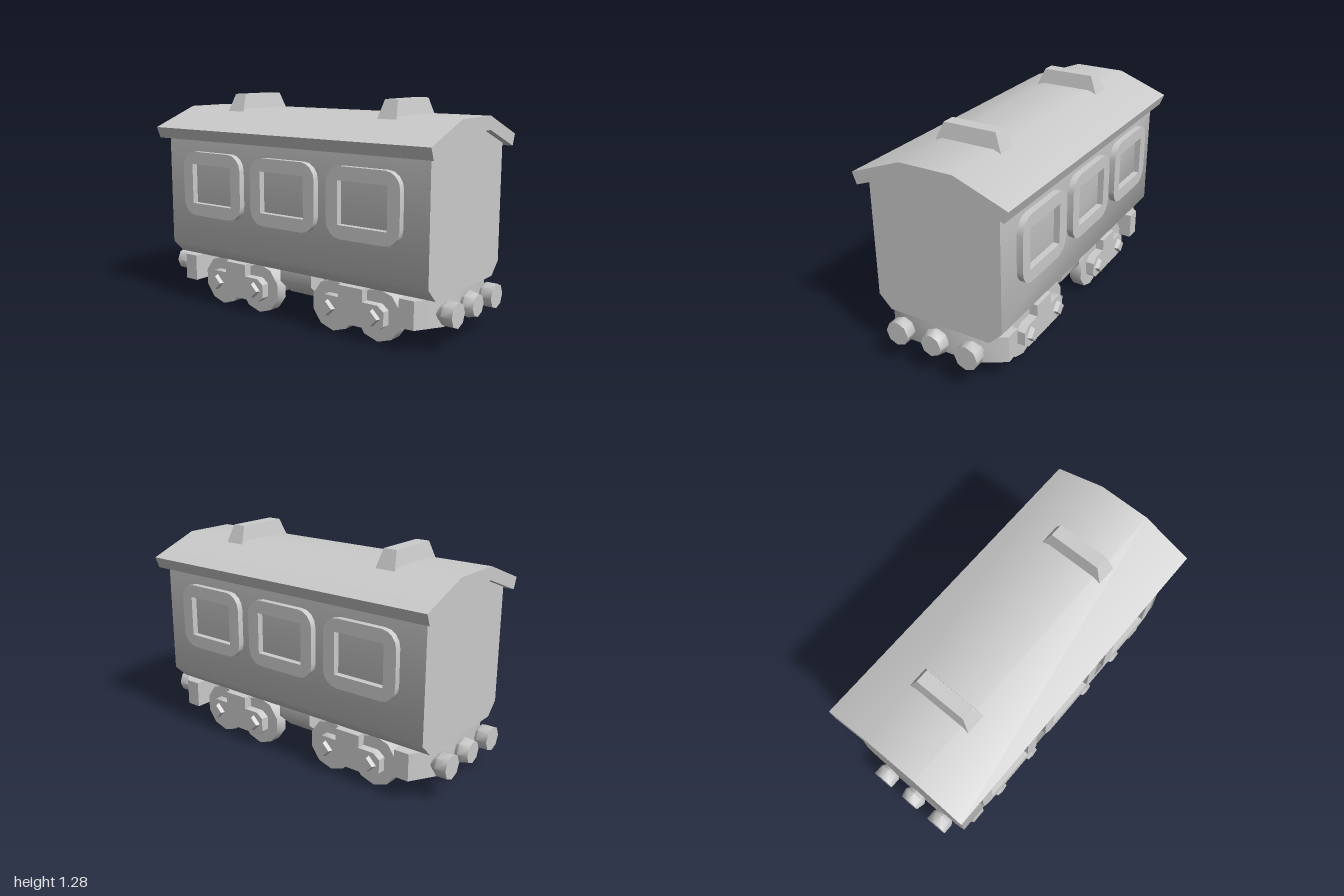
import * as THREE from 'three';
import { toCreasedNormals } from 'three/addons/utils/BufferGeometryUtils.js';

const material = new THREE.MeshStandardMaterial({ color: 0xcccccc });

function add(parent, name, geometry, x = 0, y = 0, z = 0) {
  const mesh = new THREE.Mesh(toCreasedNormals(geometry, 0.87), material);
  mesh.name = name;
  mesh.position.set(x, y, z);
  parent.add(mesh);
  return mesh;
}

function group(parent, name, z = 0, turn = 0) {
  const g = new THREE.Group();
  g.name = name;
  g.position.z = z;
  g.rotation.y = turn;
  parent.add(g);
  return g;
}

const toShape = (points) => new THREE.Shape(points.map(([x, y]) => new THREE.Vector2(x, y)));

// Right half of an outline, bottom to top, completed by its mirror image
const mirrored = (half) => toShape([...half, ...half.map(([x, y]) => [-x, y]).reverse()]);

// Extrusion centred on its own depth
function extrude(shape, depth) {
  return new THREE.ExtrudeGeometry(shape, { depth, bevelEnabled: false, curveSegments: 2 })
    .translate(0, 0, -depth / 2);
}

// Box whose top is narrowed in both directions
function taperedBox(w, h, d, topW, topD) {
  const geometry = new THREE.BoxGeometry(w, h, d);
  const p = geometry.attributes.position;
  for (let i = 0; i < p.count; i++) {
    if (p.getY(i) > 0) p.setXYZ(i, p.getX(i) * topW / w, p.getY(i), p.getZ(i) * topD / d);
  }
  return geometry;
}

function roundedRect(w, h, r) {
  const s = new THREE.Shape();
  const x = w / 2 - r, y = h / 2 - r;
  s.absarc(x, y, r, 0, Math.PI / 2);
  s.absarc(-x, y, r, Math.PI / 2, Math.PI);
  s.absarc(-x, -y, r, Math.PI, Math.PI * 1.5);
  s.absarc(x, -y, r, Math.PI * 1.5, Math.PI * 2);
  s.closePath();
  return s;
}

// Round part along z from [radius, z] pairs
function turned(profile, sides) {
  return new THREE.LatheGeometry(profile.map(([r, z]) => new THREE.Vector2(r, z)), sides)
    .rotateX(Math.PI / 2);
}

function windowFrame() {
  const shape = roundedRect(0.46, 0.385, 0.09);
  shape.holes.push(toShape([[-0.155, -0.118], [-0.155, 0.118], [0.155, 0.118], [0.155, -0.118]]));
  return extrude(shape, 0.045).rotateY(Math.PI / 2);
}

function addBogie(parent, z) {
  const bogie = group(parent, 'bogie', z);
  // Fat rounded block between the wheels
  const block = mirrored([[0.12, 0.055], [0.19, 0.1], [0.21, 0.15], [0.18, 0.205], [0.12, 0.23]]);
  add(bogie, 'axleBlock', extrude(block, 0.5).rotateY(Math.PI / 2));
  add(bogie, 'pivot', new THREE.BoxGeometry(0.3, 0.08, 0.14), 0, 0.25, 0);

  // Outer plate with raised middle
  const plate = mirrored([
    [0.175, 0.07], [0.215, 0.1], [0.215, 0.18], [0.175, 0.21], [0.078, 0.21], [0.078, 0.28],
  ]);
  for (const turn of [0, Math.PI]) {
    const side = group(bogie, 'bogieSide', 0, turn);
    add(side, 'sidePlate', extrude(plate, 0.05).rotateY(Math.PI / 2), 0.33);
    for (const wz of [-0.148, 0.148]) {
      const wheel = new THREE.CylinderGeometry(0.147, 0.147, 0.075, 10)
        .rotateZ(-Math.PI / 2);
      add(side, 'wheel', wheel.rotateX(Math.PI / 2), 0.268, 0.14, wz);
      const bolt = new THREE.CylinderGeometry(0.04, 0.05, 0.03, 4).rotateZ(-Math.PI / 2);
      add(side, 'axleBolt', bolt, 0.365, 0.14, wz);
    }
  }
}

function addEnd(parent, turn) {
  const end = group(parent, 'end', 0, turn);
  // Beam with its outer corners cut back
  const beam = mirrored([[0.37, 0.74], [0.37, 0.83], [0.22, 0.92]]);
  add(end, 'bufferBeam', extrude(beam, 0.155).rotateX(Math.PI / 2), 0, 0.203, 0);
  for (const x of [-0.217, 0.217]) {
    add(end, 'buffer', turned([[0.045, 0.86], [0.045, 0.905], [0.07, 0.935], [0.07, 1], [0, 1]], 8), x, 0.2, 0);
  }
  add(end, 'coupling', turned([[0.05, 0.88], [0.05, 0.91], [0.076, 0.945], [0.062, 1], [0, 1]], 8), 0, 0.2, 0);
}

export function createModel() {
  const model = new THREE.Group();
  model.name = 'railwayCarriage';

  // Body with chamfered lower edges
  const body = mirrored([[0.31, 0.28], [0.385, 0.355], [0.385, 1.04], [0.155, 1.13]]);
  add(model, 'body', extrude(body, 1.84));

  // Bent roof slab with overhanging eaves
  const roof = toShape([
    [0.155, 1.11], [0.432, 1.005], [0.457, 1.07], [0.155, 1.185],
    [-0.155, 1.185], [-0.457, 1.07], [-0.432, 1.005], [-0.155, 1.11],
  ]);
  add(model, 'roof', extrude(roof, 1.92));

  for (const z of [-0.54, 0.54]) {
    add(model, 'roofVent', taperedBox(0.4, 0.105, 0.122, 0.31, 0.08), 0, 1.2175, z);
  }

  // Three framed windows on each side
  for (const turn of [0, Math.PI]) {
    const side = group(model, 'windows', 0, turn);
    for (const z of [-0.54, 0, 0.54]) add(side, 'windowFrame', windowFrame(), 0.3985, 0.7425, z);
  }

  // Underframe between the bogies
  add(model, 'sill', new THREE.BoxGeometry(0.36, 0.08, 0.4), 0, 0.245, 0);
  const tank = mirrored([[0.21, 0.13], [0.3, 0.21], [0.3, 0.285]]);
  add(model, 'underfloorTank', extrude(tank, 0.225));

  for (const z of [-0.4225, 0.4225]) addBogie(model, z);
  for (const turn of [0, Math.PI]) addEnd(model, turn);
  return model;
}
